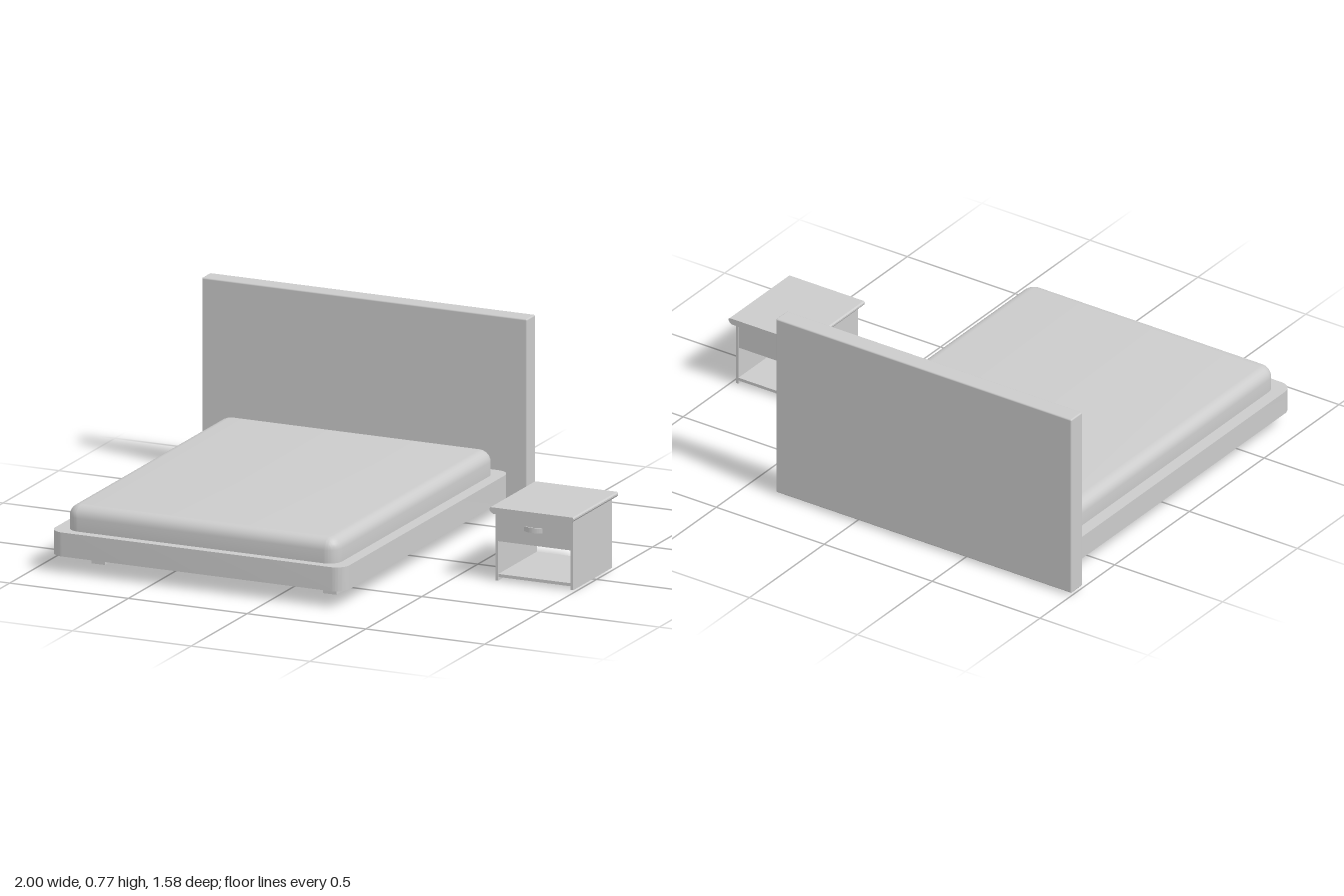
import * as THREE from 'three';
import { toCreasedNormals } from 'three/addons/utils/BufferGeometryUtils.js';
import { RoundedBoxGeometry } from 'three/addons/geometries/RoundedBoxGeometry.js';

const material = new THREE.MeshStandardMaterial({ color: 0xcccccc });

function addMesh(parent, name, geometry) {
  const mesh = new THREE.Mesh(geometry, material);
  mesh.name = name;
  parent.add(mesh);
  return mesh;
}

// Box given by its limits; a radius softens the edges
function block(parent, name, [x0, x1], [y0, y1], [z0, z1], radius = 0) {
  const size = [x1 - x0, y1 - y0, z1 - z0];
  const geometry = radius
    ? new RoundedBoxGeometry(...size, 2, radius)
    : new THREE.BoxGeometry(...size);
  const mesh = addMesh(parent, name, geometry);
  mesh.position.set((x0 + x1) / 2, (y0 + y1) / 2, (z0 + z1) / 2);
  return mesh;
}

// Upright slab with a rounded-rectangle plan and optional rounded rims
function slab(parent, name, [x0, x1], [y0, y1], [z0, z1], corner, rim = 0) {
  const w = (x1 - x0) / 2 - rim, d = (z1 - z0) / 2 - rim;
  const r = Math.max(corner - rim, 0.005);
  const shape = new THREE.Shape();
  shape.absarc(w - r, d - r, r, 0, Math.PI / 2);
  shape.absarc(r - w, d - r, r, Math.PI / 2, Math.PI);
  shape.absarc(r - w, r - d, r, Math.PI, Math.PI * 1.5);
  shape.absarc(w - r, r - d, r, Math.PI * 1.5, Math.PI * 2);
  const geometry = new THREE.ExtrudeGeometry(shape, {
    depth: y1 - y0 - 2 * rim, curveSegments: 8, bevelEnabled: rim > 0,
    bevelThickness: rim, bevelSize: rim, bevelSegments: 6,
  });
  geometry.rotateX(-Math.PI / 2);
  geometry.translate((x0 + x1) / 2, y0 + rim, (z0 + z1) / 2);
  return addMesh(parent, name, toCreasedNormals(geometry, 0.6));
}

function createBed() {
  const bed = new THREE.Group();
  bed.name = 'bed';
  block(bed, 'headboard', [-1, 0.37], [0.01, 0.77], [-0.79, -0.715], 0.006);
  slab(bed, 'bedBase', [-0.935, 0.305], [0.065, 0.16], [-0.71, 0.787], 0.055);
  // The lower rim of the mattress sinks into the base
  slab(bed, 'mattress', [-0.885, 0.257], [0.1, 0.257], [-0.672, 0.75], 0.055, 0.045);
  for (const x of [-0.808, 0.167]) {
    block(bed, 'frontLeg', [x - 0.028, x + 0.028], [0, 0.07], [0.56, 0.617]);
  }
  return bed;
}

function createNightstand() {
  const stand = new THREE.Group();
  stand.name = 'nightstand';
  const cx = 0.82;

  // Overhanging top with a chamfered lower edge
  const profile = new THREE.Shape([
    [-0.162, 0.27], [-0.172, 0.277], [-0.177, 0.284], [-0.177, 0.29], [-0.172, 0.295],
    [0.172, 0.295], [0.177, 0.29], [0.177, 0.284], [0.172, 0.277], [0.162, 0.27],
  ].map(([x, y]) => new THREE.Vector2(x, y)));
  const top = new THREE.ExtrudeGeometry(profile, { depth: 0.4, bevelEnabled: false });
  addMesh(stand, 'nightstandTop', top).position.set(cx, 0, -0.2);

  for (const side of [-1, 1]) {
    const a = cx + side * 0.152, b = cx + side * 0.164;
    block(stand, 'sidePanel', [Math.min(a, b), Math.max(a, b)], [0, 0.275], [-0.17, 0.175]);
  }
  block(stand, 'bottomShelf', [cx - 0.153, cx + 0.153], [0.014, 0.026], [-0.17, 0.173]);
  block(stand, 'drawer', [cx - 0.153, cx + 0.153], [0.157, 0.272], [-0.168, 0.172]);
  block(stand, 'drawerFront', [cx - 0.16, cx + 0.16], [0.157, 0.27], [0.165, 0.177]);

  // Bow handle
  const bow = new THREE.Shape();
  bow.moveTo(-0.04, 0);
  bow.quadraticCurveTo(0, -0.026, 0.04, 0);
  bow.lineTo(0.032, 0);
  bow.quadraticCurveTo(0, -0.016, -0.032, 0);
  const handle = new THREE.ExtrudeGeometry(bow, { depth: 0.02, bevelEnabled: false });
  handle.rotateX(-Math.PI / 2);
  addMesh(stand, 'drawerHandle', handle).position.set(cx - 0.003, 0.21, 0.176);
  return stand;
}

export function createModel() {
  const model = new THREE.Group();
  model.name = 'bedroomSet';
  model.add(createBed(), createNightstand());
  return model;
}
